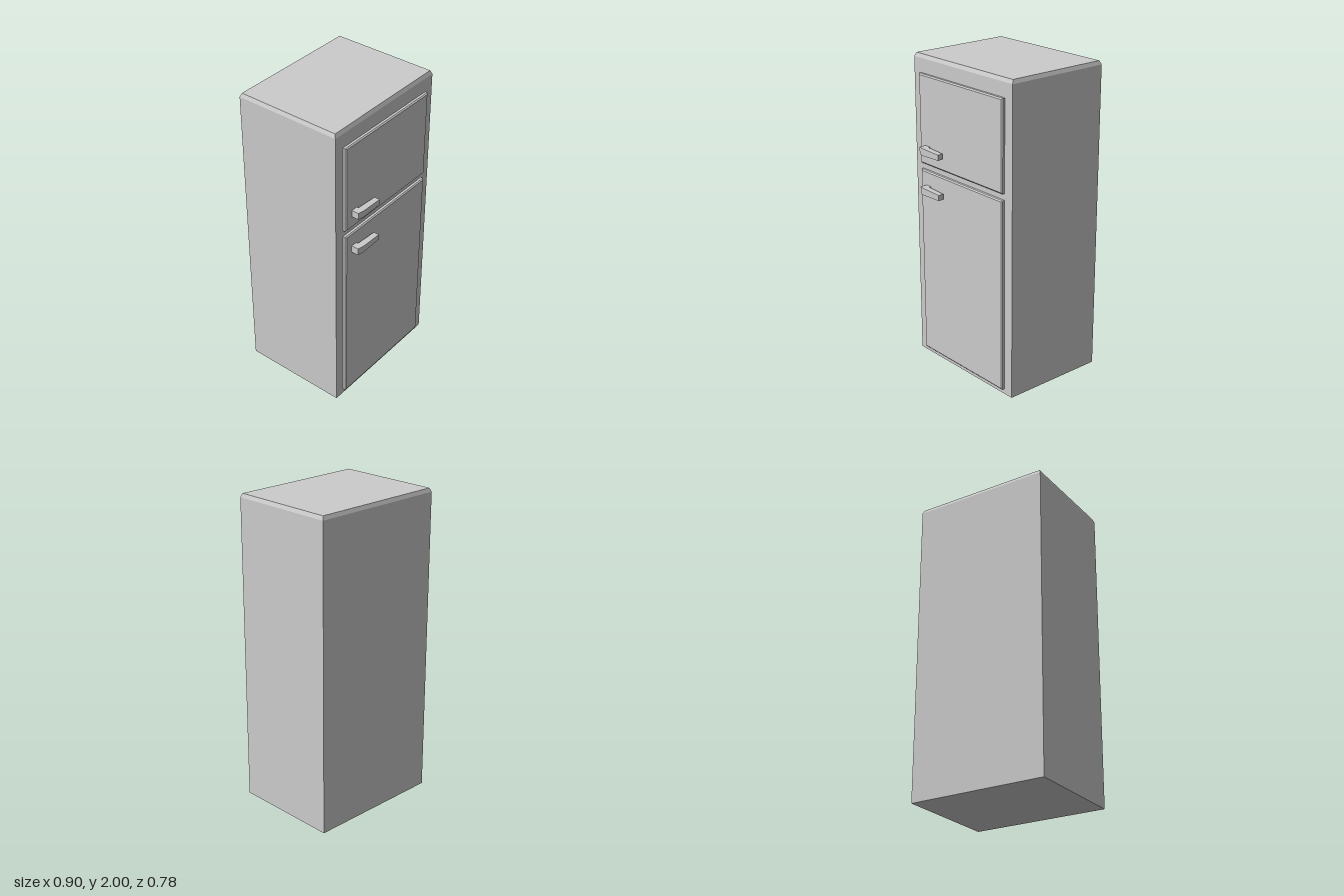
import * as THREE from 'three';

const material = new THREE.MeshStandardMaterial({ color: 0xcccccc, flatShading: true });

// Box from z = 0 to z = depth, whose front edge is chamfered all round
function chamferedBox(width, height, depth, inset, bevel) {
  const geometry = new THREE.BoxGeometry(width, height, depth, 1, 1, 2);
  const p = geometry.attributes.position;
  for (let i = 0; i < p.count; i++) {
    const z = p.getZ(i);
    if (z > 0.001) {
      p.setX(i, Math.sign(p.getX(i)) * (width / 2 - inset));
      p.setY(i, Math.sign(p.getY(i)) * (height / 2 - inset));
      p.setZ(i, depth);
    } else {
      p.setZ(i, z < -0.001 ? 0 : depth - bevel);
    }
  }
  return geometry;
}

// Bent grip drawn in plan, slightly thinner towards its free end
function handleGeometry() {
  const plan = [
    [-0.33, 0.328], [-0.286, 0.328], [-0.286, 0.344], [-0.14, 0.349],
    [-0.14, 0.386], [-0.29, 0.387], [-0.33, 0.378],
  ];
  const shape = new THREE.Shape(plan.map(([x, z]) => new THREE.Vector2(x, z)));
  const geometry = new THREE.ExtrudeGeometry(shape, { depth: 0.045, bevelEnabled: false });
  geometry.rotateX(Math.PI / 2).translate(0, 0.0225, 0);
  const p = geometry.attributes.position;
  for (let i = 0; i < p.count; i++) {
    if (p.getX(i) > -0.2) p.setY(i, p.getY(i) * 0.8);
  }
  return geometry;
}

export function createModel() {
  const model = new THREE.Group();
  model.name = 'refrigerator';

  const add = (name, geometry, x, y, z) => {
    const mesh = new THREE.Mesh(geometry, material);
    mesh.name = name;
    mesh.position.set(x, y, z);
    model.add(mesh);
  };

  // Cabinet with a chamfered top edge
  const cabinet = chamferedBox(0.9, 0.7, 2, 0.01, 0.024).rotateX(-Math.PI / 2);
  add('cabinet', cabinet, 0, 0, -0.04);

  // Doors and handles: name, bottom, top, handle height
  const doors = [
    ['freezer', 1.316, 1.886, 1.418],
    ['fridge', 0.034, 1.275, 1.16],
  ];
  for (const [name, bottom, top, handleY] of doors) {
    const door = chamferedBox(0.768, top - bottom, 0.022, 0.008, 0.007);
    add(name + 'Door', door, 0, (bottom + top) / 2, 0.31);
    add(name + 'Handle', handleGeometry(), 0, handleY, 0);
  }
  return model;
}
